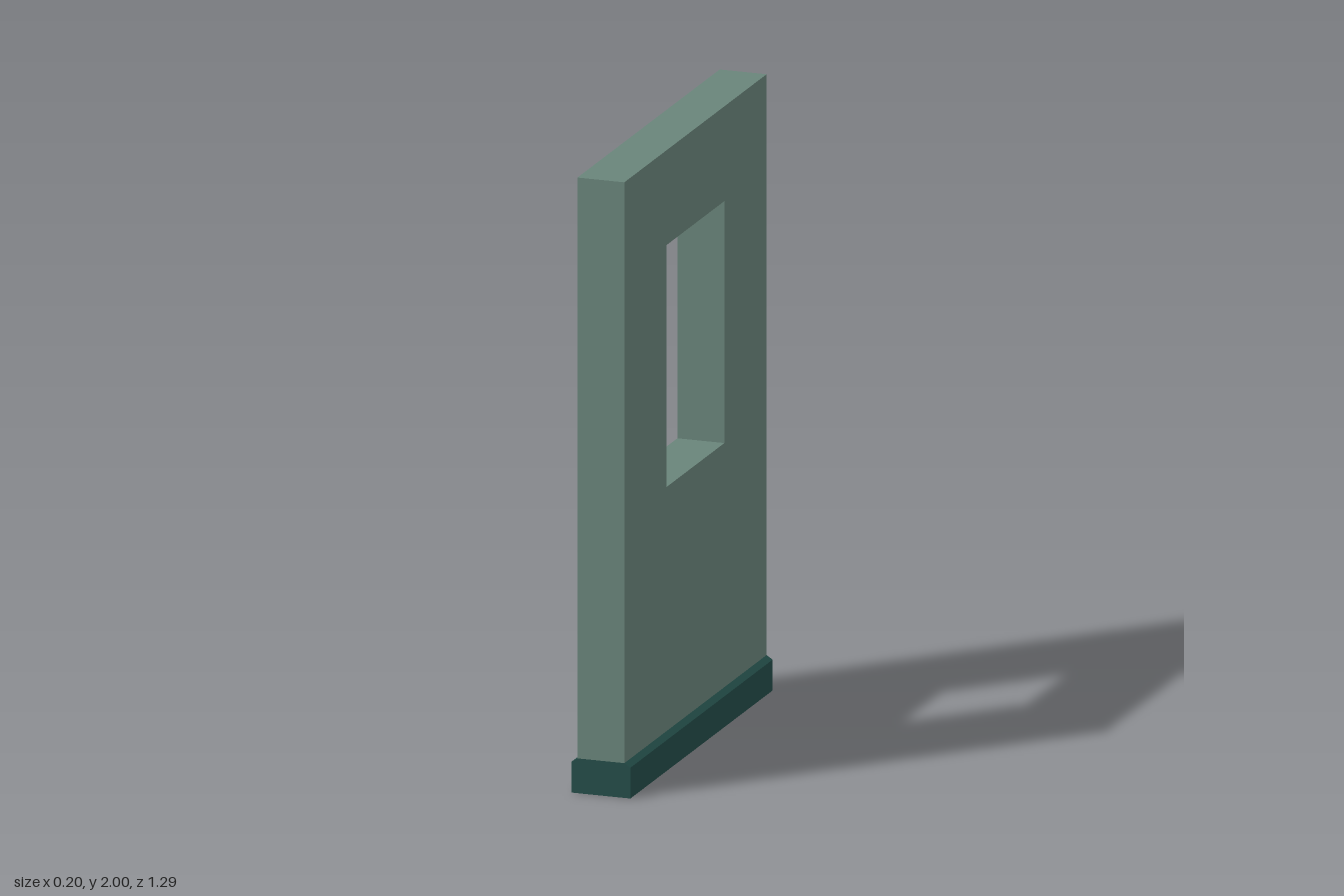
import * as THREE from 'three';

const LENGTH = 1.29;

// Closed shape from a list of corner points
const polygon = (points, Type = THREE.Shape) =>
  new Type(points.map(([x, y]) => new THREE.Vector2(x, y)));

// Extrude a shape, centred along its depth
function extrude(shape, depth) {
  const geometry = new THREE.ExtrudeGeometry(shape, { depth, bevelEnabled: false });
  return geometry.translate(0, 0, -depth / 2);
}

export function createModel() {
  const group = new THREE.Group();
  group.name = 'windowWall';

  const wallPaint = new THREE.MeshStandardMaterial({ color: 0x69847a });
  wallPaint.name = 'sage green';
  const basePaint = new THREE.MeshStandardMaterial({ color: 0x234c48 });
  basePaint.name = 'dark teal';

  // Wall panel with a rectangular window opening
  const half = LENGTH / 2;
  const panel = polygon([[-half, 0.113], [half, 0.113], [half, 2], [-half, 2]]);
  panel.holes.push(polygon([[-0.262, 0.906], [-0.262, 1.692], [0.262, 1.692], [0.262, 0.906]], THREE.Path));
  const wall = new THREE.Mesh(extrude(panel, 0.156).rotateY(Math.PI / 2), wallPaint);
  wall.name = 'wall';

  // Skirting along both faces, with chamfered upper edges
  const profile = polygon([
    [-0.098, 0], [0.098, 0], [0.098, 0.1], [0.078, 0.113], [-0.078, 0.113], [-0.098, 0.1],
  ]);
  const skirting = new THREE.Mesh(extrude(profile, LENGTH), basePaint);
  skirting.name = 'skirting';

  group.add(wall, skirting);
  return group;
}
